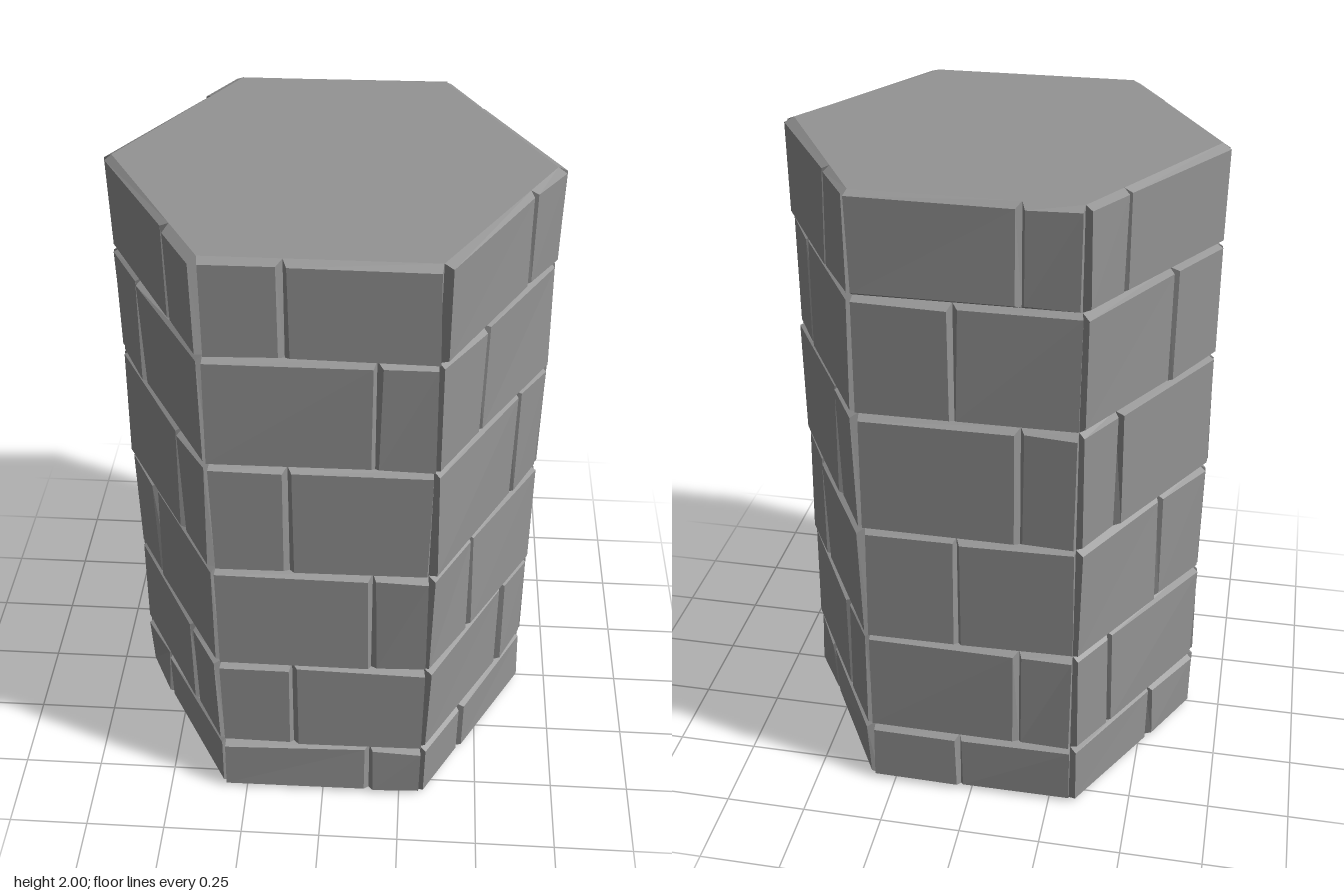
import * as THREE from 'three';

const CORE = 0.541;   // centre-to-side distance of the inner core
const OUTER = 0.565;  // centre-to-side distance of the brick faces
const BEVEL = 0.013;

// small seeded generator, returns -1..1
function makeJitter(seed) {
  let s = seed;
  return () => {
    s = (s * 16807) % 2147483647;
    return (s / 2147483647) * 2 - 1;
  };
}

// Bevelled brick from two four-cornered sections: back (on the core) and face
function brickGeometry(back, face) {
  const pos = [];
  const quad = (a, b, c, d) => [a, b, c, a, c, d].forEach(p => pos.push(...p));
  quad(...face);
  for (let i = 0; i < 4; i++) {
    const j = (i + 1) % 4;
    quad(back[i], back[j], face[j], face[i]);
  }
  const g = new THREE.BufferGeometry();
  g.setAttribute('position', new THREE.Float32BufferAttribute(pos, 3));
  g.computeVertexNormals();
  return g;
}

export function createModel() {
  const group = new THREE.Group();
  const stone = new THREE.MeshStandardMaterial({ color: 0x949494 });
  stone.name = 'grey stone';
  stone.flatShading = true;
  const jitter = makeJitter(4711);

  // Inner hexagonal core with the flat top and bottom
  const R = CORE / Math.cos(Math.PI / 6);
  const core = new THREE.Mesh(new THREE.CylinderGeometry(R, R, 2, 6, 1, false, Math.PI / 6), stone);
  core.position.y = 1;
  core.name = 'core';
  group.add(core);

  // Course heights, and where each side's vertical joint falls (front side first)
  const levels = [0, 0.21, 0.565, 0.95, 1.338, 1.7, 2];
  const joints = [
    [0.74, 0.36, 0.3, 0.44, 0.63, 0.3],
    [0.35, 0.74, 0.7, 0.74, 0.26, 0.7],
  ];

  for (let row = 0; row < 6; row++) {
    const course = new THREE.Group();
    course.name = 'course' + (row + 1);
    const y0 = levels[row], y1 = levels[row + 1];

    for (let side = 0; side < 6; side++) {
      const a = side * Math.PI / 3, sin = Math.sin(a), cos = Math.cos(a);
      // u runs left to right along the side, d is the distance outwards
      const point = (u, y, d) => [cos * u + sin * d, y, -sin * u + cos * d];
      const halfCore = CORE / Math.sqrt(3), halfOuter = OUTER / Math.sqrt(3);
      const joint = (joints[row % 2][side] * 2 - 1) * halfCore;

      // Two bricks per side, mitred at the column corners
      for (const [b0, b1, f0, f1] of [
        [-halfCore, joint, -halfOuter, joint],
        [joint, halfCore, joint, halfOuter],
      ]) {
        const back = [[b0, y0], [b1, y0], [b1, y1], [b0, y1]].map(([u, y]) => point(u, y, CORE));
        const corner = (u, y, du, dy) => point(
          u + du * (BEVEL + 0.005 * jitter()),
          y + dy * (BEVEL + 0.004 * jitter()),
          OUTER + 0.006 * jitter());
        const face = [
          corner(f0, y0, 1, 1), corner(f1, y0, -1, 1),
          corner(f1, y1, -1, -1), corner(f0, y1, 1, -1),
        ];
        const brick = new THREE.Mesh(brickGeometry(back, face), stone);
        brick.name = 'brick';
        course.add(brick);
      }
    }
    group.add(course);
  }
  return group;
}
